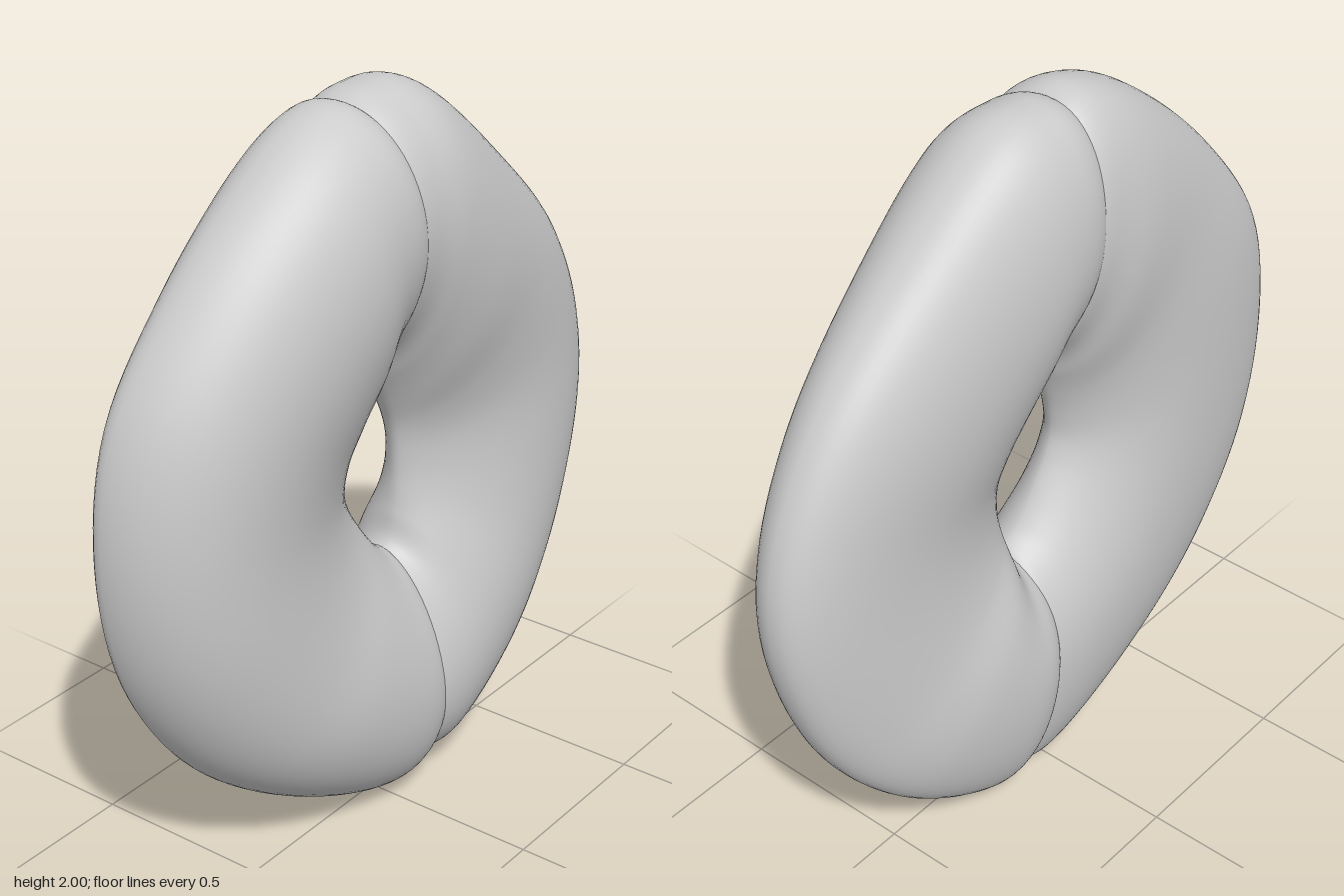
import * as THREE from 'three';

// Stations along each half, top to bottom:
// outer x, outer y, inner x, inner y, outer edge z, front z, back z
const RIGHT_HALF = [
  [-0.04, 1.96, 0.03, 1.35, 0.0, 0.22, -0.2],
  [-0.2, 1.985, -0.07, 1.27, 0.0, 0.23, -0.21],
  [-0.4, 1.89, -0.1, 1.19, 0.0, 0.24, -0.22],
  [-0.65, 1.66, -0.12, 1.12, -0.04, 0.22, -0.21],
  [-0.84, 1.37, -0.133, 1.05, -0.09, 0.19, -0.21],
  [-0.895, 1.03, -0.135, 0.98, -0.1, 0.17, -0.21],
  [-0.83, 0.68, -0.115, 0.92, -0.1, 0.17, -0.21],
  [-0.64, 0.37, -0.08, 0.86, -0.08, 0.18, -0.21],
  [-0.36, 0.15, -0.03, 0.79, -0.06, 0.2, -0.21],
  [-0.02, 0.005, 0.02, 0.74, -0.05, 0.2, -0.2],
  [0.2, 0.05, 0.1, 0.7, -0.05, 0.18, -0.19],
];
const LEFT_HALF = [
  [-0.19, 1.95, -0.11, 1.36, 0.0, 0.21, -0.2],
  [-0.03, 1.995, 0.0, 1.29, -0.01, 0.22, -0.22],
  [0.15, 1.965, 0.04, 1.21, -0.01, 0.23, -0.22],
  [0.42, 1.75, 0.075, 1.13, 0.0, 0.22, -0.2],
  [0.7, 1.48, 0.1, 1.06, 0.0, 0.19, -0.18],
  [0.86, 1.18, 0.11, 1.0, 0.0, 0.17, -0.16],
  [0.885, 0.87, 0.113, 0.93, -0.01, 0.17, -0.16],
  [0.77, 0.51, 0.11, 0.87, -0.03, 0.18, -0.18],
  [0.55, 0.235, 0.1, 0.8, -0.06, 0.2, -0.22],
  [0.25, 0.045, 0.075, 0.72, -0.06, 0.2, -0.23],
  [0.04, 0.05, -0.02, 0.68, -0.05, 0.19, -0.21],
];

const STEPS = 110, SIDES = 64;

// Smooth doughy crescent: thin toward the hole, thickest past the middle,
// rounded off at both ends
function crescent(rows) {
  const spline = (pick) => new THREE.CatmullRomCurve3(
    rows.map((r) => new THREE.Vector3(...pick(r))), false, 'catmullrom', 0.5);
  const outer = spline((r) => [r[0], r[1], r[4]]);
  const inner = spline((r) => [r[2], r[3], -0.01]);
  const depth = spline((r) => [r[5], r[6], 0]);
  const power = (v, e) => Math.sign(v) * Math.abs(v) ** e;
  const positions = [], index = [];

  for (let i = 0; i <= STEPS; i++) {
    const t = (1 - Math.cos((Math.PI * i) / STEPS)) / 2;
    const o = outer.getPoint(t), n = inner.getPoint(t), d = depth.getPoint(t);
    // end rounding over the first and last station gap
    const x = Math.max(0, 1 - Math.min(t, 1 - t) * (rows.length - 1));
    const scale = Math.max(0.002, Math.max(0, 1 - x ** 4) ** 0.3);
    for (let j = 0; j < SIDES; j++) {
      const a = (j / SIDES) * Math.PI * 2;
      const cos = Math.cos(a), sin = Math.sin(a);
      // the front crest sits a little toward the rim
      const c = sin > 0 ? cos + 0.1 * sin * sin : cos;
      const front = cos > 0 ? 1.05 : 1.2, back = cos > 0 ? 0.85 : 1.1;
      const s = power(sin, sin > 0 ? front : back);
      const p = n.clone().lerp(o, 0.5 + 0.5 * c * scale);
      const reach = s > 0 ? d.x - p.z : p.z - d.y;
      positions.push(p.x, p.y, p.z + s * reach * scale);
    }
  }
  for (let i = 0; i < STEPS; i++) {
    for (let j = 0; j < SIDES; j++) {
      const k = (j + 1) % SIDES;
      const a = i * SIDES + j, b = a + SIDES;
      const c = i * SIDES + k, e = c + SIDES;
      index.push(a, b, c, b, e, c);
    }
  }
  const geometry = new THREE.BufferGeometry();
  geometry.setAttribute('position', new THREE.Float32BufferAttribute(positions, 3));
  geometry.setIndex(index);
  geometry.computeVertexNormals();
  return geometry;
}

export function createModel() {
  const group = new THREE.Group();
  group.name = 'ringBread';
  const material = new THREE.MeshStandardMaterial({ color: 0xcccccc });
  const add = (name, rows) => {
    const mesh = new THREE.Mesh(crescent(rows), material);
    mesh.name = name;
    group.add(mesh);
  };
  add('rightHalf', RIGHT_HALF);
  // reversed so that its faces also point outward
  add('leftHalf', [...LEFT_HALF].reverse());
  return group;
}
